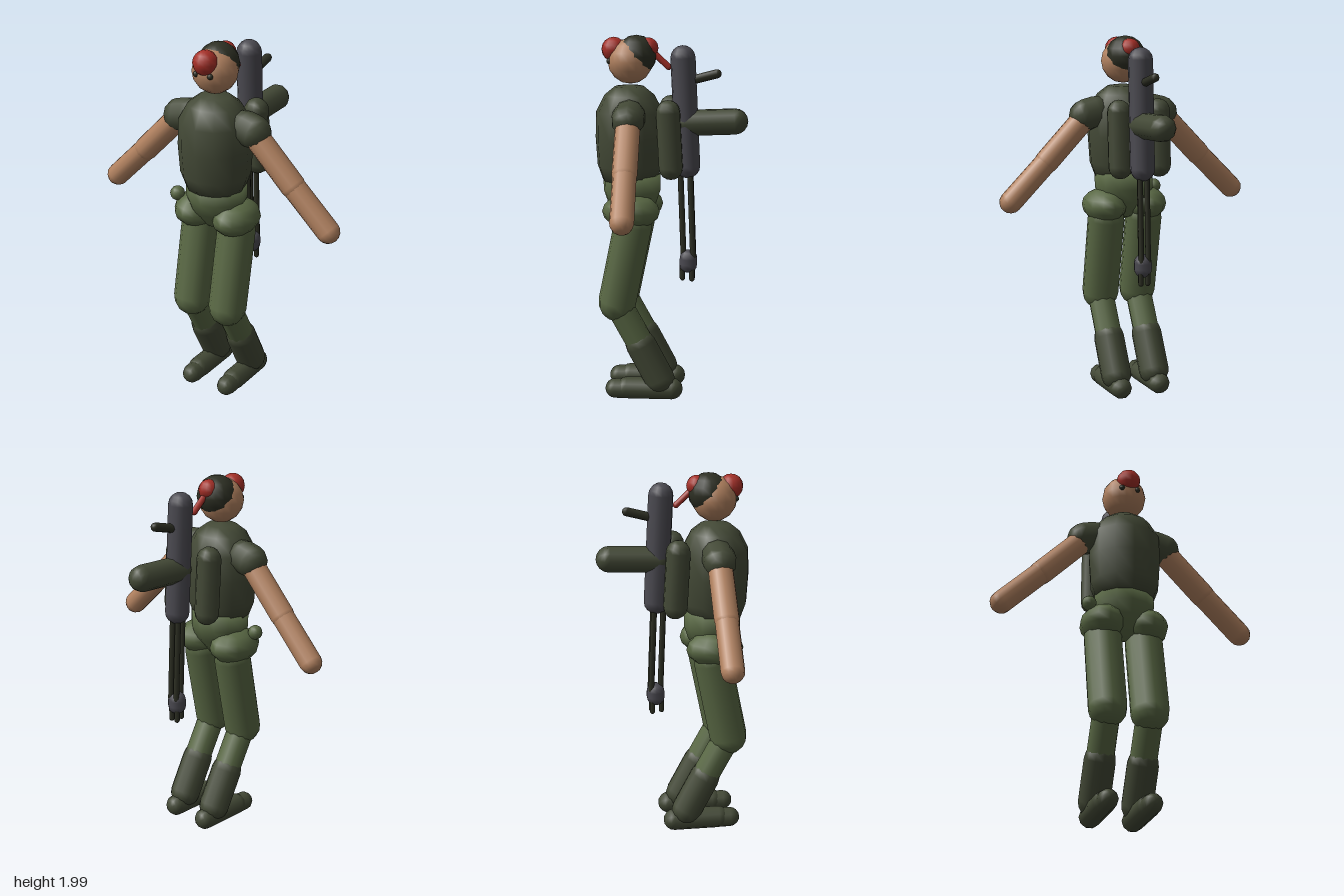
import * as THREE from 'three';

const mat = (name, color) => {
  const m = new THREE.MeshStandardMaterial({ color });
  m.name = name;
  return m;
};

export function createModel() {
  const vest = mat('dark olive', 0x434936);
  const pants = mat('olive', 0x596844);
  const skin = mat('tan skin', 0xb28260);
  const red = mat('red cloth', 0xa52f27);
  const steel = mat('grey metal', 0x4b4a51);
  const dark = mat('near black green', 0x2d2f23);

  const model = new THREE.Group();
  const add = (name, geometry, material) => {
    const mesh = new THREE.Mesh(geometry, material);
    mesh.name = name;
    model.add(mesh);
    return mesh;
  };

  // Rounded limb running between two joint centres
  const limb = (name, material, r, a, b, sides = 10) => {
    const from = new THREE.Vector3(...a), to = new THREE.Vector3(...b);
    const dir = to.clone().sub(from);
    const mesh = add(name, new THREE.CapsuleGeometry(r, dir.length(), 4, sides), material);
    mesh.position.copy(from).add(to).multiplyScalar(0.5);
    mesh.quaternion.setFromUnitVectors(new THREE.Vector3(0, 1, 0), dir.normalize());
    return mesh;
  };

  const ball = (name, material, r, p, scale = [1, 1, 1], sides = 12) => {
    const mesh = add(name, new THREE.SphereGeometry(r, sides, 8), material);
    mesh.position.set(...p);
    mesh.scale.set(...scale);
    return mesh;
  };

  // Oval body section from a [radius, height] profile
  const body = (name, material, profile, depth, z) => {
    const points = profile.map(([r, y]) => new THREE.Vector2(r, y));
    const mesh = add(name, new THREE.LatheGeometry(points, 12), material);
    mesh.scale.z = depth;
    mesh.position.z = z;
    return mesh;
  };

  // Torso and hips
  body('vest', vest, [[0, 1.22], [0.16, 1.22], [0.19, 1.3], [0.2, 1.45], [0.195, 1.59],
    [0.145, 1.68], [0.085, 1.725], [0, 1.735]], 0.93, 0.225);
  body('waist', pants, [[0, 0.98], [0.06, 1.0], [0.14, 1.09], [0.165, 1.16], [0.165, 1.25], [0, 1.25]],
    0.94, 0.215);
  ball('pouch', pants, 0.04, [-0.212, 1.145, 0.275]);

  // Head, hair and headband
  ball('head', skin, 0.121, [0, 1.86, 0.22], [1, 1, 1], 18);
  ball('hair', dark, 0.11, [0, 1.889, 0.188], [1, 1, 1], 14);
  ball('headbandFront', red, 0.066, [0, 1.922, 0.308]);
  ball('headbandKnot', red, 0.056, [0, 1.93, 0.125]);
  limb('headbandTail', red, 0.017, [0, 1.9, 0.09], [0, 1.83, 0.015], 8);

  for (const s of [1, -1]) {
    const side = s > 0 ? 'left' : 'right';
    ball(side + 'Eye', dark, 0.016, [s * 0.043, 1.862, 0.328], [1, 1, 1], 8);

    // Arms
    limb(side + 'Sleeve', vest, 0.088, [s * 0.17, 1.585, 0.212], [s * 0.23, 1.57, 0.212]);
    limb(side + 'UpperArm', skin, 0.066, [s * 0.23, 1.56, 0.212], [s * 0.46, 1.325, 0.208], 12);
    limb(side + 'Forearm', skin, 0.062, [s * 0.45, 1.335, 0.208], [s * 0.668, 1.12, 0.202], 12);

    // Legs
    ball(side + 'Hip', pants, 0.12, [s * 0.12, 1.065, 0.21], [1, 0.8, 1.3], 12);
    limb(side + 'Thigh', pants, 0.103, [s * 0.114, 0.99, 0.2], [s * 0.114, 0.555, 0.29], 12);
    limb(side + 'Shin', pants, 0.075, [s * 0.116, 0.53, 0.275], [s * 0.116, 0.3, 0.15]);
    limb(side + 'Boot', vest, 0.085, [s * 0.116, 0.315, 0.16], [s * 0.116, 0.125, 0.06], 12);
    limb(side + 'Foot', vest, 0.06, [s * 0.116, 0.066, 0.24], [s * 0.116, 0.066, -0.01]);
    limb(side + 'Toe', vest, 0.054, [s * 0.116, 0.061, 0.24], [s * 0.116, 0.061, 0.305]);

    // Twin back pack pouches
    limb(side + 'BackPouch', vest, 0.066, [s * 0.115, 1.6, 0.01], [s * 0.115, 1.305, -0.005]);
  }

  // Back mounted launcher
  const x = 0.022;
  limb('canister', steel, 0.067, [x, 1.88, -0.063], [x, 1.3, -0.09], 12);
  limb('drum', vest, 0.071, [x, 1.533, -0.08], [x, 1.543, -0.342]);
  limb('handle', dark, 0.024, [x, 1.762, -0.11], [x, 1.797, -0.245], 8);
  for (const [dx, z] of [[0, -0.05], [-0.02, -0.103], [0.02, -0.103]]) {
    limb('barrelRod', dark, 0.016, [x + dx, 1.28, z], [x + dx, 0.8, z - 0.018], 8);
    limb('muzzleProng', dark, 0.015, [x + dx, 0.76, z - 0.012], [x + dx, 0.675, z - 0.012], 8);
  }
  limb('muzzle', steel, 0.05, [x, 0.785, -0.095], [x, 0.755, -0.095]);

  return model;
}
